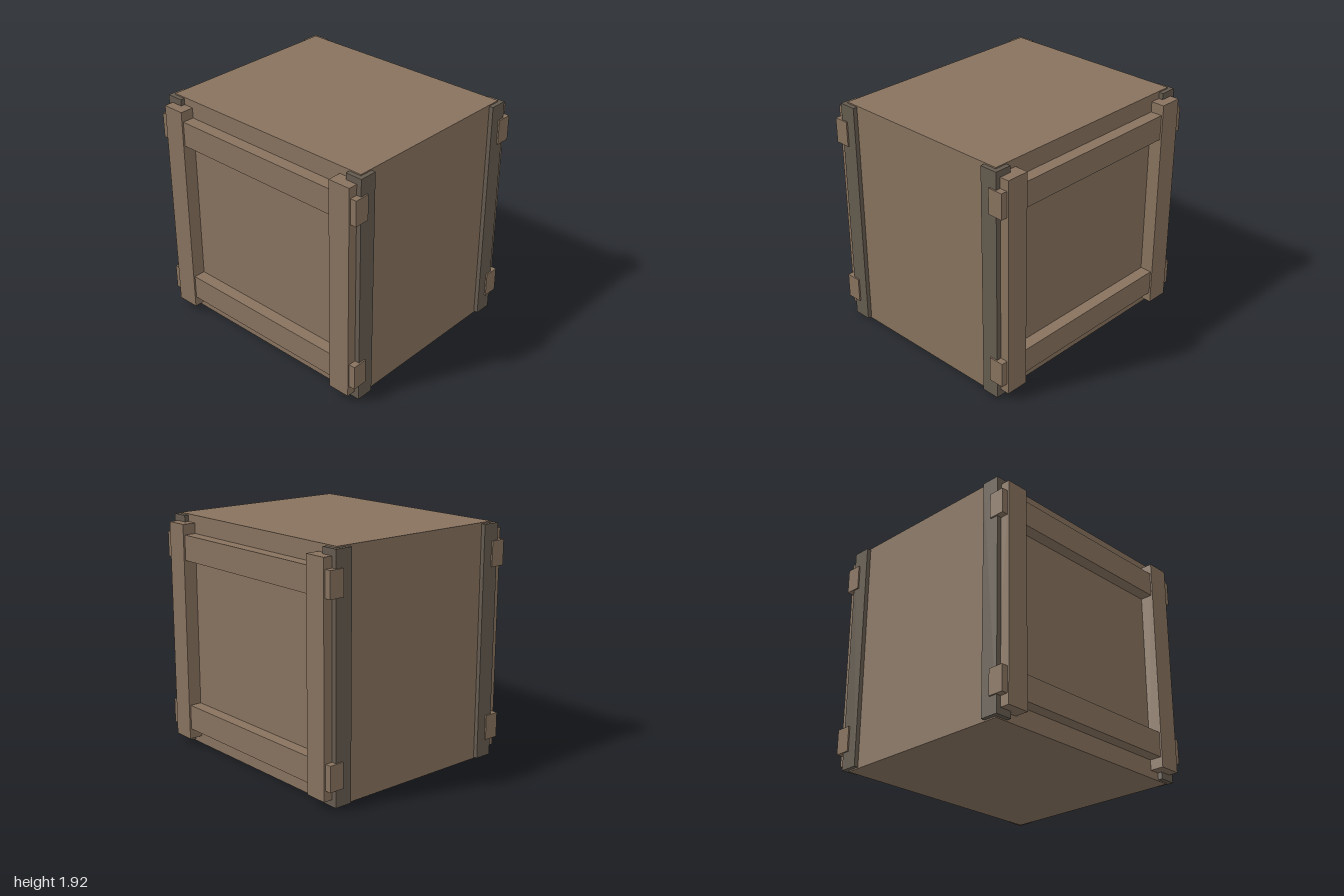
import * as THREE from 'three';

export function createModel() {
  const crate = new THREE.Group();
  crate.name = 'crate';

  const wood = new THREE.MeshStandardMaterial({ color: 0x87725e });
  wood.name = 'wood';
  const metal = new THREE.MeshStandardMaterial({ color: 0x645b4f });
  metal.name = 'dark metal';

  // Box given by its lower and upper limits on each axis
  function box(name, [x0, x1], [y0, y1], [z0, z1]) {
    const mesh = new THREE.Mesh(new THREE.BoxGeometry(x1 - x0, y1 - y0, z1 - z0), wood);
    mesh.position.set((x0 + x1) / 2, (y0 + y1) / 2, (z0 + z1) / 2);
    mesh.name = name;
    crate.add(mesh);
  }

  // Main box
  box('body', [-0.953, 0.953], [0, 1.92], [-0.787, 0.787]);

  // L-shaped angle iron, drawn in plan (shape y becomes -z) and extruded upwards
  function cornerIron(sx, sz) {
    const plan = [[0.988, 0.823], [0.848, 0.823], [0.848, 0.78], [0.945, 0.78], [0.945, 0.677], [0.988, 0.677]];
    const shape = new THREE.Shape(plan.map(([x, z]) => new THREE.Vector2(sx * x, -sz * z)));
    const geometry = new THREE.ExtrudeGeometry(shape, { depth: 1.9, bevelEnabled: false });
    geometry.rotateX(-Math.PI / 2);
    const mesh = new THREE.Mesh(geometry, metal);
    mesh.position.y = 0.01;
    mesh.name = 'cornerIron';
    crate.add(mesh);
  }

  const side = (s, a, b) => (s > 0 ? [a, b] : [-b, -a]);
  for (const sz of [1, -1]) {
    // Horizontal rails, running past the corners
    for (const y of [0.15, 1.568]) {
      box('rail', [-1, 1], [y, y + 0.205], side(sz, 0.76, 0.886));
    }
    // Upright battens and corner irons
    for (const sx of [1, -1]) {
      box('batten', side(sx, 0.76, 0.948), [0.065, 1.858], side(sz, 0.78, 0.9));
      cornerIron(sx, sz);
    }
  }
  return crate;
}
